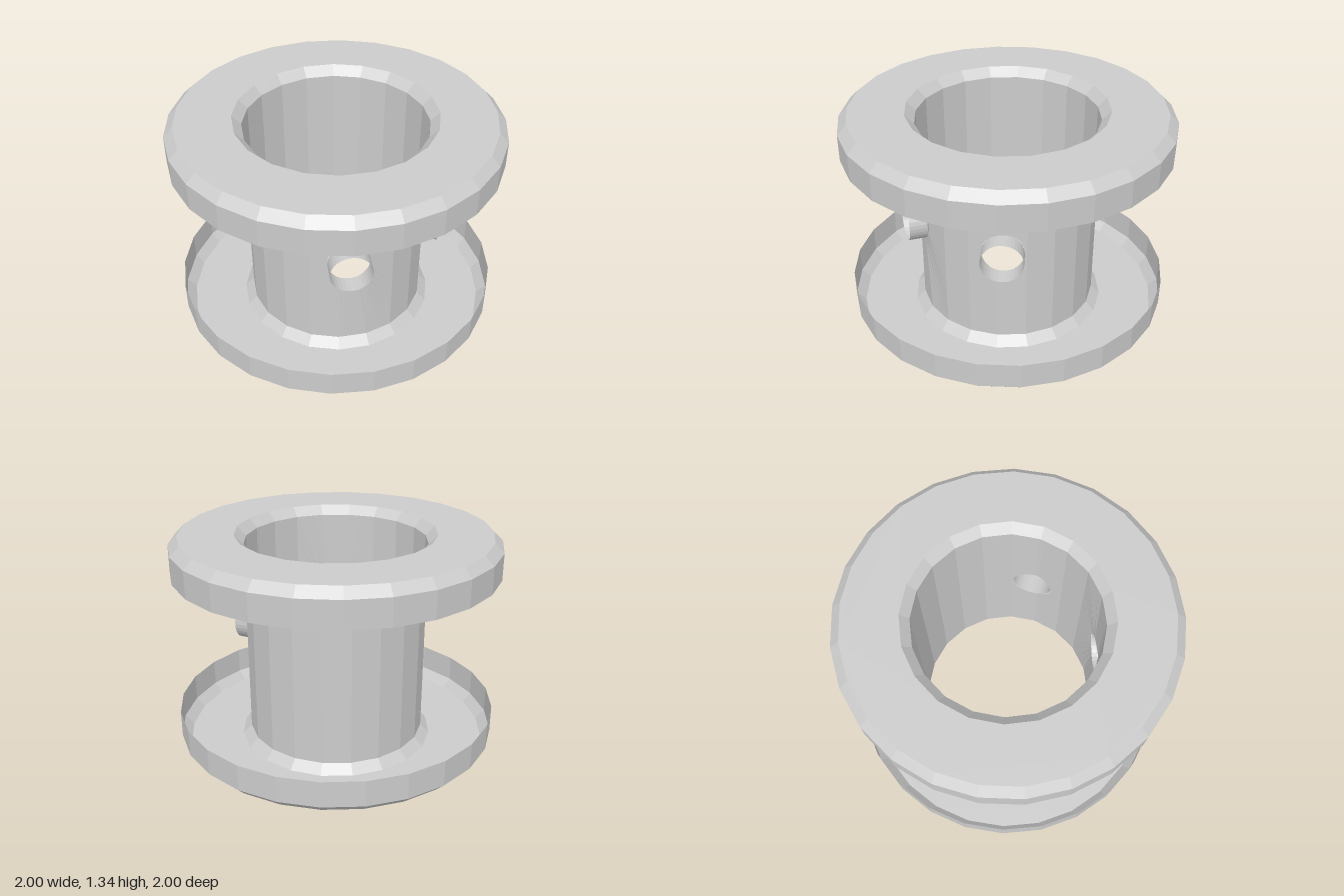
import * as THREE from 'three';

const H = 1.335, R = 0.555, BEVEL = 0.055;   // height, core radius, chamfer
const RIM = 1, RIM_SIDES = 25, CORE_SIDES = 20;
const HOLE_R = 0.127, HOLE_Y = H / 2;
const deg = THREE.MathUtils.degToRad;

const material = new THREE.MeshStandardMaterial({
  color: 0xcccccc, flatShading: true, side: THREE.DoubleSide,
});

function mesh(name, geometry) {
  const m = new THREE.Mesh(geometry, material);
  m.name = name;
  return m;
}

function lathe(name, points, sides, start = 0, sweep = 360) {
  const profile = points.map(([r, y]) => new THREE.Vector2(r, y));
  return mesh(name, new THREE.LatheGeometry(profile, sides, deg(start), deg(sweep)));
}

function polygon(r, sides) {
  return Array.from({ length: sides }, (_, i) => {
    const a = (i / sides) * Math.PI * 2;
    return new THREE.Vector2(r * Math.cos(a), r * Math.sin(a));
  });
}

// Shallow dish: flat ring, chamfered outer rim and chamfered bore
function makeFlange(name) {
  const g = new THREE.Group();
  g.name = name;
  const ring = new THREE.Shape(polygon(RIM - BEVEL, RIM_SIDES));
  ring.holes.push(new THREE.Path(polygon(R + BEVEL, CORE_SIDES)));
  g.add(
    mesh('flangePlate', new THREE.ShapeGeometry(ring).rotateX(Math.PI / 2)),
    lathe('flangeRim', [[RIM - BEVEL, 0], [RIM, BEVEL], [RIM, 0.22]], RIM_SIDES, 90),
    lathe('boreChamfer', [[R + BEVEL, 0], [R, BEVEL]], CORE_SIDES),
  );
  return g;
}

// Point on the faceted core wall at an angle in degrees from the front
function wallPoint(angle, y) {
  const step = 360 / CORE_SIDES;
  const off = ((angle % step) + step) % step - step / 2;
  const r = R * Math.cos(deg(step / 2)) / Math.cos(deg(off));
  return [r * Math.sin(deg(angle)), y, r * Math.cos(deg(angle))];
}

// Full-height wall panel lofted from a round hole out to its rectangular border
function makeHolePanel(center, from, to) {
  const N = 48, pos = [], index = [];
  for (let i = 0; i <= N; i++) {
    const t = (i / N) * Math.PI * 2, c = Math.cos(t), s = Math.sin(t);
    const k = 1 / Math.max(Math.abs(c), Math.abs(s));
    const holeAngle = center + THREE.MathUtils.radToDeg(Math.asin(HOLE_R * c / R));
    const edgeAngle = center + c * k * (c > 0 ? to - center : center - from);
    pos.push(...wallPoint(holeAngle, HOLE_Y + HOLE_R * s));
    pos.push(...wallPoint(edgeAngle, HOLE_Y + s * k * (H / 2 - BEVEL)));
    if (i < N) {
      const a = 2 * i;
      index.push(a, a + 1, a + 3, a, a + 3, a + 2);
    }
  }
  const g = new THREE.BufferGeometry();
  g.setAttribute('position', new THREE.Float32BufferAttribute(pos, 3));
  g.setIndex(index);
  g.computeVertexNormals();
  return mesh('coreHolePanel', g);
}

// Short open pipe standing out of the core
function makeSpout(angle) {
  const inner = 0.545, outer = 0.655;
  const g = new THREE.CylinderGeometry(HOLE_R, HOLE_R, outer - inner, 32, 1, true);
  g.rotateX(Math.PI / 2).translate(0, 0, (inner + outer) / 2);
  g.rotateY(deg(angle)).translate(0, HOLE_Y, 0);
  return mesh('spout', g);
}

export function createModel() {
  const model = new THREE.Group();
  model.name = 'spool';

  // Flanges: the upper one is the lower one turned over
  const top = makeFlange('topFlange');
  top.rotation.z = Math.PI;
  top.position.y = H;
  model.add(makeFlange('bottomFlange'), top);

  // Core wall: plain stretches and two panels with holes
  const wall = [[R, BEVEL], [R, H - BEVEL]];
  model.add(
    lathe('coreWallFront', wall, 1, 0, 18),
    lathe('coreWallBack', wall, 14, 54, 252),
    makeHolePanel(-30, -54, 0),
    makeHolePanel(39.5, 18, 54),
  );

  for (const angle of [-30, 39.5]) model.add(makeSpout(angle));
  return model;
}
